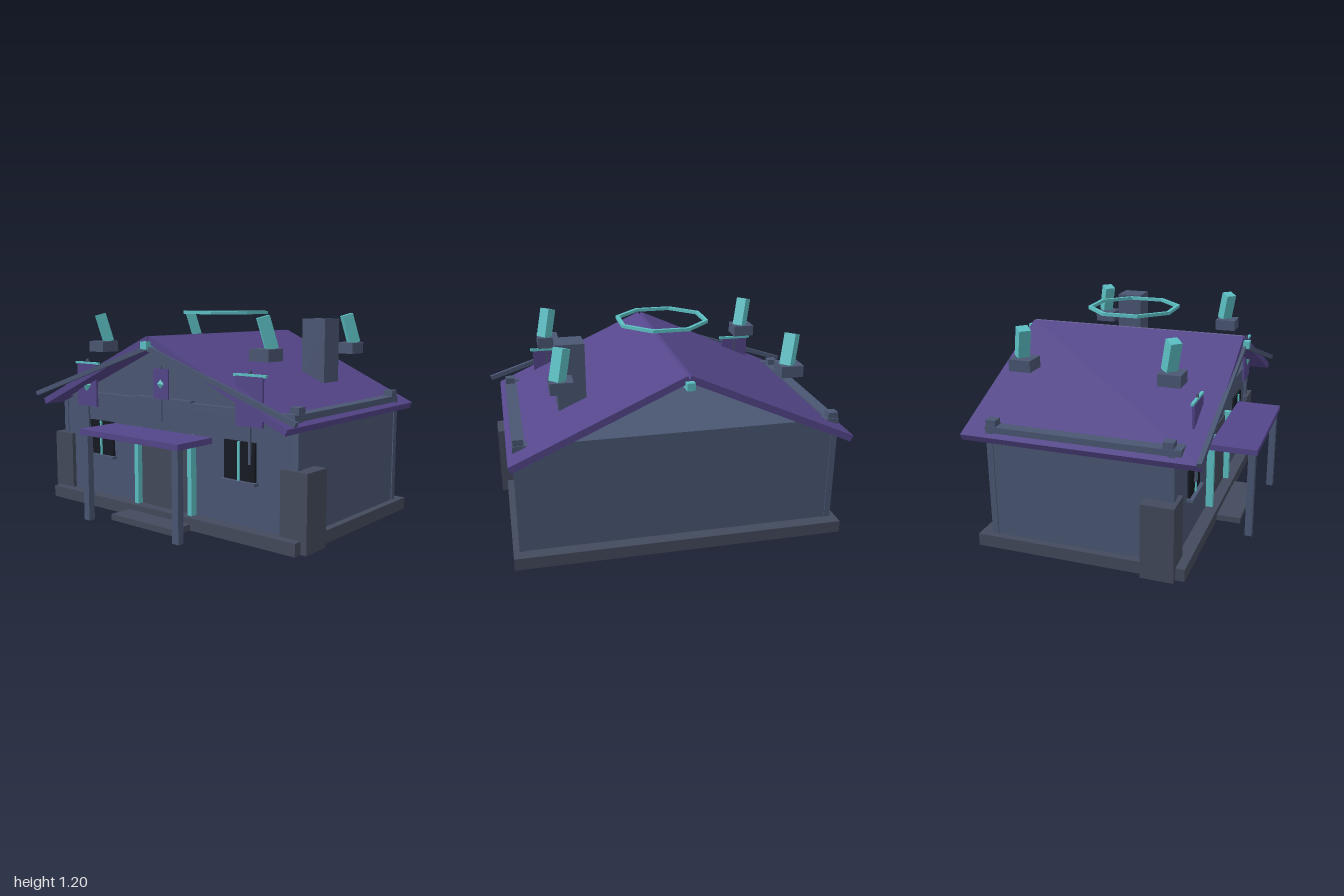
import * as THREE from 'three';

const paint = (color, double) => new THREE.MeshStandardMaterial({ color, flatShading: true, side: double ? THREE.DoubleSide : THREE.FrontSide });
const WALL = paint(0x4a5672), STONE = paint(0x434a5c), PURPLE = paint(0x54468a), TEAL = paint(0x5cc0c4), DARK = paint(0x161a22);

export function createModel() {
  const house = new THREE.Group();
  house.name = 'house';

  const add = (name, geometry, material, parent = house) => {
    const mesh = new THREE.Mesh(geometry, material);
    mesh.name = name;
    parent.add(mesh);
    return mesh;
  };
  // Box given by its lower and upper limits on each axis
  const box = (name, [x0, x1], [y0, y1], [z0, z1], material, parent) => {
    const mesh = add(name, new THREE.BoxGeometry(x1 - x0, y1 - y0, z1 - z0), material, parent);
    mesh.position.set((x0 + x1) / 2, (y0 + y1) / 2, (z0 + z1) / 2);
    return mesh;
  };
  const around = (c, half) => [c - half, c + half];
  const prism = (points, depth) => new THREE.ExtrudeGeometry(
    new THREE.Shape(points.map(p => new THREE.Vector2(...p))), { depth, bevelEnabled: false });

  // Foundation and walls
  box('foundation', [-0.945, 0.945], [0, 0.07], [-0.66, 0.525], STONE);
  box('doorStep', [-0.245, 0.245], [0, 0.035], [0.525, 0.665], STONE);
  box('walls', [-0.905, 0.905], [0.07, 0.67], [-0.585, 0.45], WALL);
  box('frontTrim', [-0.9, 0.9], [0.67, 0.705], [0.44, 0.487], WALL);
  box('backTrim', [-0.9, 0.9], [0.67, 0.7], [-0.59, -0.53], WALL);
  box('gableLedge', [-0.215, 0.215], [0.705, 0.715], [0.45, 0.485], WALL);
  const gable = add('gable', prism([[-0.8, 0.67], [0.8, 0.67], [0, 1.025]], 0.03), WALL);
  gable.position.z = 0.42;

  // Roof halves, with a narrow gap at the ridge
  for (const s of [-1, 1]) {
    const slope = 0.424, length = 1.02, thick = 0.038;
    const roof = add('roofHalf', new THREE.BoxGeometry(length, thick, 1.325), PURPLE);
    roof.rotation.z = -s * slope;
    roof.position.set(
      s * (0.01 + Math.cos(slope) * length / 2 - Math.sin(slope) * thick / 2),
      1.07 - Math.sin(slope) * length / 2 - Math.cos(slope) * thick / 2, -0.0675);

    // Shallower barge boards on the front
    const board = add('bargeBoard', prism([[0, 1.02], [s * 1, 0.692], [s * 0.99, 0.667], [0, 0.992]], 0.025), WALL);
    board.position.z = 0.587;

    // Side rails with end blocks
    box('sideRail', around(s * 0.875, 0.034), [0.67, 0.702], [-0.595, 0.487], WALL);
    for (const z of [-0.562, 0.418])
      box('railBlock', around(s * 0.877, 0.028), [0.7, 0.737], around(z, 0.028), WALL);

    // Corner posts and front buttresses
    for (const z of [-0.572, 0.437])
      box('cornerPost', around(s * 0.893, 0.018), [0.07, 0.67], around(z, 0.018), WALL);
    box('buttress', around(s * 0.898, 0.082), [0, 0.42], [0.295, 0.475], STONE);

    // Window, mullion and sill
    box('window', around(s * 0.543, 0.103), [0.32, 0.53], [0.44, 0.465], DARK);
    box('mullion', around(s * 0.543, 0.006), [0.32, 0.53], [0.46, 0.475], TEAL);
    box('windowSill', around(s * 0.543, 0.117), [0.303, 0.32], [0.44, 0.487], WALL);

    // Porch post and door jamb
    box('porchPost', around(s * 0.352, 0.022), [0, 0.505], [0.718, 0.758], WALL);
    box('doorJamb', around(s * 0.211, 0.015), [0.07, 0.525], [0.45, 0.492], TEAL);
  }
  box('ridgeBeam', [-0.022, 0.022], [1, 1.042], [-0.765, 0.63], TEAL);
  box('door', [-0.196, 0.196], [0.07, 0.505], [0.44, 0.458], STONE);
  box('porchRoof', [-0.385, 0.385], [0.503, 0.536], [0.5, 0.77], PURPLE);
  box('chimney', [0.485, 0.64], [0.79, 1.16], [-0.355, -0.2], WALL);

  // Hanging banners: pole, cloth and gem
  const banner = (x, y, scale, withBar) => {
    const g = new THREE.Group();
    g.name = 'banner';
    box('bannerPole', [-0.006, 0.006], [-0.33, 0.16], [-0.006, 0.006], WALL, g);
    box('bannerCloth', [-0.087, 0.087], [-0.13, 0.13], [-0.004, 0.01], PURPLE, g);
    if (withBar) box('bannerBar', [-0.104, 0.104], [0.127, 0.142], [-0.008, 0.008], TEAL, g);
    const gem = add('bannerGem', new THREE.OctahedronGeometry(0.04), TEAL, g);
    gem.position.z = 0.012;
    gem.scale.z = 0.4;
    g.position.set(x, y, 0.49);
    g.scale.setScalar(scale);
    house.add(g);
  };
  banner(-0.632, 0.75, 1, true);
  banner(0.632, 0.75, 1, true);
  banner(0, 0.798, 0.66, false);

  // Leaning crystals on floating blocks
  const lean = new THREE.Vector3(-0.035, 0.17, 0.035).normalize();
  for (const x of [-0.632, 0.632]) for (const z of [-0.485, 0.355]) {
    box('crystalBlock', around(x, 0.063), [0.95, 1.015], around(z, 0.063), WALL);
    const crystal = add('crystal', new THREE.CylinderGeometry(0.046, 0.046, 0.175, 4), TEAL);
    crystal.quaternion.setFromUnitVectors(new THREE.Vector3(0, 1, 0), lean);
    crystal.position.set(x + 0.003, 1.097, z - 0.006);
  }

  // Eight-sided ring hovering over the ridge
  const octagon = r => Array.from({ length: 8 }, (_, i) => {
    const a = (i + 0.5) * Math.PI / 4;
    return new THREE.Vector2(Math.cos(a) * r, Math.sin(a) * r);
  });
  const outline = new THREE.Shape(octagon(0.272));
  outline.holes.push(new THREE.Path(octagon(0.25)));
  const ring = add('hoverRing', new THREE.ExtrudeGeometry(outline, { depth: 0.018, bevelEnabled: false }), TEAL);
  ring.rotation.x = -Math.PI / 2;
  ring.position.set(0, 1.185, -0.073);

  return house;
}
